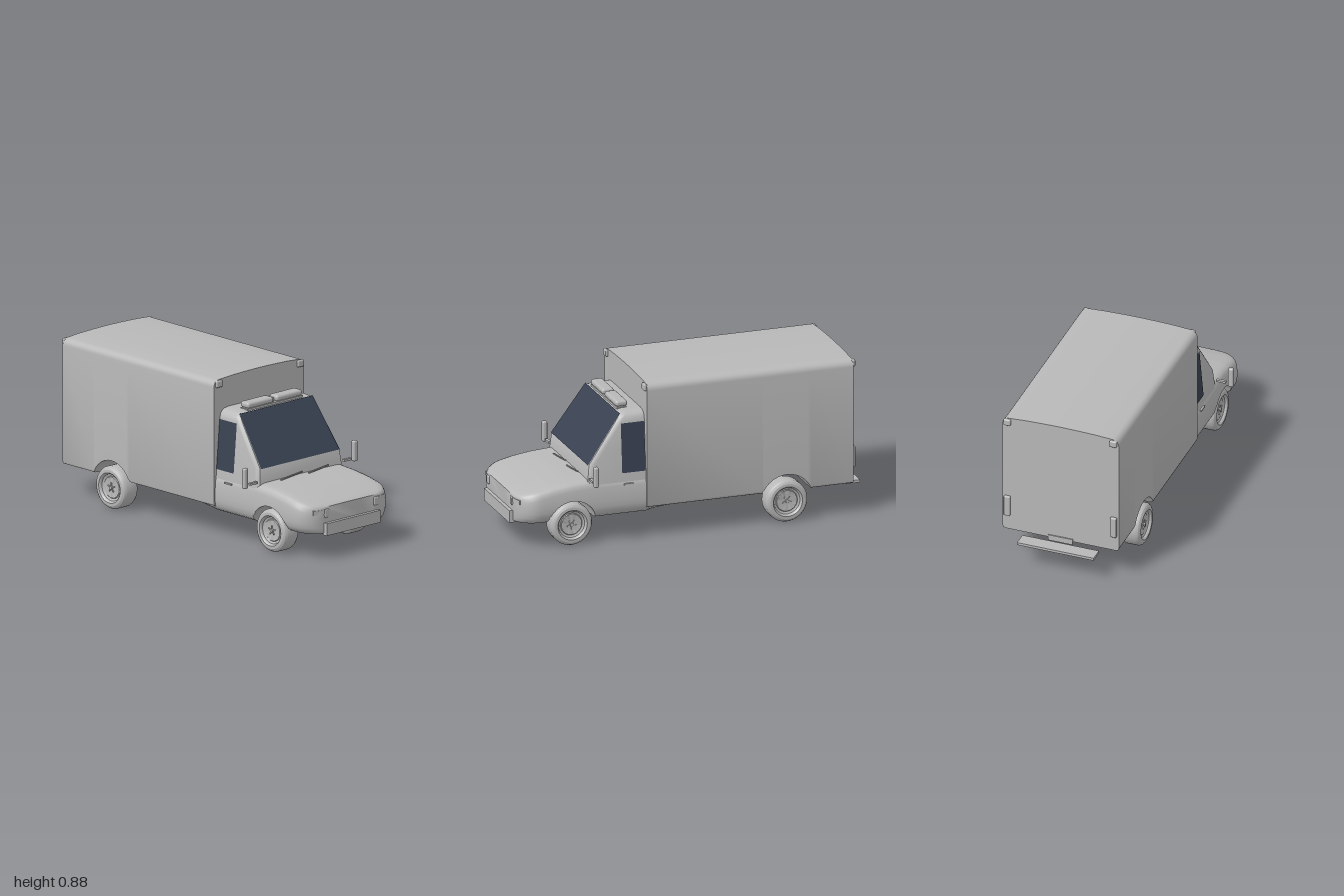
import * as THREE from 'three';
import { toCreasedNormals } from 'three/addons/utils/BufferGeometryUtils.js';
import { RoundedBoxGeometry } from 'three/addons/geometries/RoundedBoxGeometry.js';

const paint = new THREE.MeshStandardMaterial({ color: 0xb8b8b8 });
paint.name = 'greyPaint';
const glass = new THREE.MeshStandardMaterial({ color: 0x3a4252, side: THREE.DoubleSide });
glass.name = 'darkGlass';

const AXLE_Y = 0.118;
const FRONT_AXLE = 0.68, REAR_AXLE = -0.54;

function mesh(name, geometry, material = paint) {
  const m = new THREE.Mesh(geometry, material);
  m.name = name;
  return m;
}

// Box given by its limits on each axis; radius rounds the edges
function block(name, [x0, x1], [y0, y1], [z0, z1], radius = 0) {
  const size = [x1 - x0, y1 - y0, z1 - z0];
  const g = radius ? new RoundedBoxGeometry(...size, 3, radius) : new THREE.BoxGeometry(...size);
  g.translate((x0 + x1) / 2, (y0 + y1) / 2, (z0 + z1) / 2);
  return mesh(name, g);
}

// Closed rings of [x, y, z] joined into a capped skin with creased normals
function loft(rings) {
  const pos = [];
  const tri = (a, b, c) => pos.push(...a, ...b, ...c);
  const n = rings[0].length;
  for (let s = 0; s < rings.length - 1; s++) {
    for (let i = 0; i < n; i++) {
      const j = (i + 1) % n, p = rings[s], q = rings[s + 1];
      tri(p[i], p[j], q[j]);
      tri(p[i], q[j], q[i]);
    }
  }
  const first = rings[0], last = rings[rings.length - 1];
  for (let i = 1; i < n - 1; i++) {
    tri(last[0], last[i], last[i + 1]);
    tri(first[0], first[i + 1], first[i]);
  }
  const g = new THREE.BufferGeometry();
  g.setAttribute('position', new THREE.Float32BufferAttribute(pos, 3));
  return toCreasedNormals(g, 0.6);
}

// Mirrors a right-hand half outline (bottom to top) into a full ring
function mirrorRing(half, z, floor) {
  const pts = half.map(([x, y]) => [x, Math.max(y, floor), z]);
  return [...pts, ...pts.map(([x, y]) => [-x, y, z]).reverse()];
}

// Wheel arch: roof height at z, and the stations needed to follow it
const archHeight = (z, cz, r) => AXLE_Y + Math.sqrt(Math.max(0, r * r - (z - cz) ** 2));
function archStations(cz, r, base) {
  const a = Math.asin((base - AXLE_Y) / r), out = [];
  for (let i = 0; i <= 16; i++) out.push(cz - r * Math.cos(a + (Math.PI - 2 * a) * i / 16));
  return out;
}

function lerpTable(table, v) {
  let i = 0;
  while (i < table.length - 2 && v > table[i + 1][0]) i++;
  const [a, b] = [table[i], table[i + 1]];
  return THREE.MathUtils.lerp(a[1], b[1], THREE.MathUtils.clamp((v - a[0]) / (b[0] - a[0]), 0, 1));
}

// Cargo box with bowed roof and wheel tunnel
function cargoBox() {
  const r = 0.15, base = 0.172, half = [[0.318, base], [0.33, base + 0.005], [0.335, base + 0.017]];
  for (let i = 0; i <= 6; i++) {
    const a = i / 6 * 1.5;
    half.push([0.295 + 0.04 * Math.cos(a), 0.835 + 0.04 * Math.sin(a)]);
  }
  half.push([0.2, 0.881], [0.1, 0.884], [0.02, 0.885]);
  const zs = [-0.92, ...archStations(REAR_AXLE, r, base), 0.26];
  return loft(zs.map((z) => mirrorRing(half, z, Math.max(base, archHeight(z, REAR_AXLE, r)))));
}

// Bonnet, wings and door bottoms with wheel tunnel
function lowerBody() {
  const r = 0.138, base = 0.138;
  const top = [[0.15, 0.35], [0.58, 0.36], [0.7, 0.352], [0.8, 0.338], [0.9, 0.316], [0.96, 0.298], [0.98, 0.288]];
  const zs = [0.15, 0.25, 0.4, ...archStations(FRONT_AXLE, r, base), 0.84];
  for (let i = 0; i <= 10; i++) zs.push(0.86 + 0.12 * Math.sin(i / 10 * Math.PI / 2));
  return loft(zs.map((z) => {
    const s = Math.max(0, (z - 0.86) / 0.12);
    const w = 0.2 + 0.126 * Math.sqrt(Math.max(0, 1 - s * s));
    const t = lerpTable(top, z);
    const floor = Math.max(lerpTable([[0.15, 0.168], [0.25, base]], z), archHeight(z, FRONT_AXLE, r));
    const half = [[0.8, base], [0.89, 0.144], [0.95, 0.157], [0.985, 0.178], [1, 0.205], [1, 0.235],
      [0.99, t - 0.045], [0.97, t - 0.025], [0.94, t - 0.012], [0.88, t - 0.004], [0.78, t - 0.001], [0.3, t]];
    return mirrorRing(half.map(([f, y]) => [f * w, y]), z, floor);
  }));
}

// Cab shell, stacked upward: [y, half width, front z]
function cabShell() {
  const levels = [[0.33, 0.318, 0.59], [0.44, 0.308, 0.578], [0.66, 0.29, 0.422], [0.685, 0.284, 0.404],
    [0.7, 0.272, 0.392], [0.709, 0.255, 0.38], [0.713, 0.225, 0.36]];
  return loft(levels.map(([y, w, z]) => [
    [w, y, z - 0.03], [w, y, 0.2], [-w, y, 0.2], [-w, y, z - 0.03],
    [-w + 0.004, y, z - 0.012], [-w + 0.014, y, z], [w - 0.014, y, z], [w - 0.004, y, z - 0.012]]));
}

function pane(name, a, b, c, d) {
  const g = new THREE.BufferGeometry();
  g.setAttribute('position', new THREE.Float32BufferAttribute([a, b, c, a, c, d].flat(), 3));
  g.computeVertexNormals();
  return mesh(name, g, glass);
}

// Thin bar between two points
function bar(name, a, b, h, d) {
  const p = new THREE.Vector3(...a), q = new THREE.Vector3(...b);
  const m = mesh(name, new THREE.BoxGeometry(p.distanceTo(q), h, d));
  m.position.copy(p).add(q).multiplyScalar(0.5);
  m.quaternion.setFromUnitVectors(new THREE.Vector3(1, 0, 0), q.sub(p).normalize());
  return m;
}

// Wheel with dished rim, hub and five spokes; outer face towards +y before turning
function wheel(name, side, x, z) {
  const g = new THREE.Group();
  g.name = name;
  const profile = [[0, -0.02], [0.074, -0.02], [0.078, -0.05], [0.084, -0.055], [0.1, -0.054], [0.111, -0.047],
    [0.118, -0.034], [0.118, 0.034], [0.111, 0.047], [0.1, 0.054], [0.084, 0.055], [0.078, 0.05],
    [0.074, 0.04], [0.062, 0.034], [0.058, 0.038], [0, 0.038]];
  const tyre = new THREE.LatheGeometry(profile.map((p) => new THREE.Vector2(...p)), 40);
  g.add(mesh('tyreAndRim', toCreasedNormals(tyre, 0.5)));
  const hub = mesh('hub', new THREE.CylinderGeometry(0.01, 0.012, 0.012, 16));
  hub.position.y = 0.042;
  g.add(hub);
  for (let i = 0; i < 5; i++) {
    const a = i / 5 * Math.PI * 2;
    const spoke = mesh('spoke', new THREE.BoxGeometry(0.018, 0.008, 0.006));
    spoke.position.set(0.018 * Math.cos(a), 0.04, 0.018 * Math.sin(a));
    spoke.rotation.y = -a;
    g.add(spoke);
  }
  g.rotation.z = -side * Math.PI / 2;
  g.position.set(side * x, AXLE_Y, z);
  return g;
}

export function createModel() {
  const van = new THREE.Group();
  van.name = 'boxVan';
  van.add(mesh('cargoBox', cargoBox()), mesh('lowerBody', lowerBody()), mesh('cab', cabShell()));

  van.add(pane('windscreen', [-0.291, 0.438, 0.583], [0.291, 0.438, 0.583], [0.271, 0.705, 0.394], [-0.271, 0.705, 0.394]));

  // Bumper, rear step and plate
  van.add(block('frontBumper', [-0.2, 0.2], [0.132, 0.2], [0.97, 1]));
  van.add(block('rearStep', [-0.22, 0.22], [0.133, 0.148], [-1, -0.92]));
  van.add(block('rearPlate', [-0.07, 0.07], [0.155, 0.188], [-0.926, -0.919]));

  // Roof light bar
  van.add(block('lightBarBase', [-0.205, 0.205], [0.704, 0.717], [0.33, 0.385]));
  van.add(block('lightBarCentre', [-0.011, 0.011], [0.715, 0.739], [0.345, 0.37], 0.005));

  // Wipers
  van.add(bar('wiper', [-0.17, 0.361, 0.612], [-0.005, 0.374, 0.603], 0.005, 0.008));
  van.add(bar('wiper', [0.035, 0.361, 0.612], [0.19, 0.374, 0.603], 0.005, 0.008));

  for (const s of [1, -1]) {
    const span = (a, b) => (s > 0 ? [a, b] : [-b, -a]);
    const label = s > 0 ? 'left' : 'right';
    van.add(pane(label + 'SideWindow', [s * 0.317, 0.38, 0.262], [s * 0.317, 0.38, 0.396],
      [s * 0.2935, 0.655, 0.396], [s * 0.2935, 0.655, 0.262]));
    van.add(block(label + 'LightBarLamp', span(0.012, 0.202), [0.717, 0.75], [0.323, 0.39], 0.014));
    van.add(block(label + 'FrontMarkerLamp', span(0.28, 0.324), [0.833, 0.871], [0.255, 0.274], 0.007));
    van.add(block(label + 'RearMarkerLamp', span(0.285, 0.326), [0.833, 0.871], [-0.936, -0.915], 0.007));
    van.add(block(label + 'TailLamp', span(0.288, 0.324), [0.26, 0.382], [-0.936, -0.915], 0.006));
    van.add(block(label + 'Mirror', span(0.391, 0.421), [0.35, 0.465], [0.565, 0.592], 0.009));
    van.add(block(label + 'MirrorArm', span(0.322, 0.376), [0.363, 0.375], [0.571, 0.587]));
    van.add(block(label + 'DoorHandle', span(0.315, 0.329), [0.314, 0.322], [0.335, 0.388]));
    van.add(block(label + 'FogLamp', span(0.166, 0.2), [0.228, 0.275], [0.965, 0.986], 0.007));
    van.add(bar(label + 'Headlamp', [s * 0.195, 0.262, 0.977], [s * 0.265, 0.262, 0.96], 0.024, 0.012));
    van.add(wheel(label + 'FrontWheel', s, 0.262, FRONT_AXLE));
    van.add(wheel(label + 'RearWheel', s, 0.294, REAR_AXLE));
  }
  return van;
}
